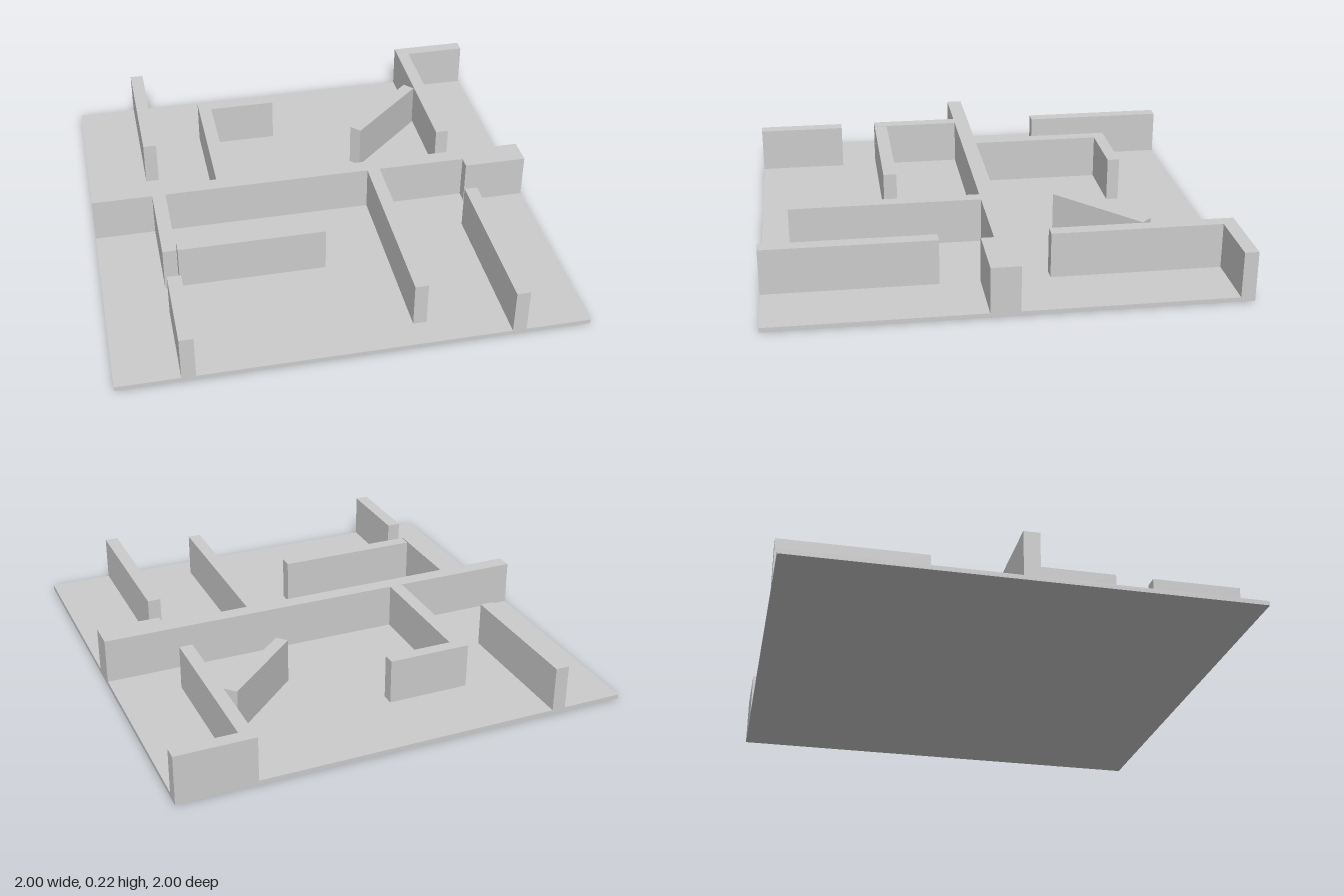
import * as THREE from 'three';

const FLOOR = 0.02;
const TOP = 0.22;
const material = new THREE.MeshStandardMaterial({ color: 0xcccccc, flatShading: true });

// Box given by its extents on the plan and in height
function block(name, x0, x1, z0, z1, y0 = FLOOR, y1 = TOP) {
  const mesh = new THREE.Mesh(new THREE.BoxGeometry(x1 - x0, y1 - y0, z1 - z0), material);
  mesh.position.set((x0 + x1) / 2, (y0 + y1) / 2, (z0 + z1) / 2);
  mesh.name = name;
  return mesh;
}

export function createModel() {
  const model = new THREE.Group();
  model.name = 'floorPlan';

  model.add(block('floor', -1, 1, -1, 1, 0, FLOOR));

  // Straight walls: name, x from, x to, z from, z to
  const walls = [
    ['centralWall', -1, 1, -0.035, 0.035],
    ['backRightWall', -0.73, -0.67, -1, -0.36],
    ['middleRightWall', -0.73, -0.67, 0.035, 0.44],
    ['frontRightWall', -0.73, -0.67, 0.605, 1],
    ['frontCrossWall', -0.665, -0.02, 0.38, 0.44],
    ['hookWallStem', -0.43, -0.37, -0.62, -0.035],
    ['hookWallArm', -0.43, -0.065, -0.675, -0.62],
    ['frontInnerWall', 0.262, 0.32, 0.035, 0.875],
    ['backLeftWall', 0.658, 0.717, -1, -0.205],
    ['backLeftCornerWall', 0.717, 1, -1, -0.94],
    ['frontLeftWall', 0.658, 0.717, 0.262, 1],
    ['centralWallThickening', 0.717, 1, 0.035, 0.09],
  ];
  for (const wall of walls) model.add(block(...wall));

  // Diagonal wall, turned about its middle
  const diagonal = block('diagonalWall', -0.237, 0.237, -0.029, 0.029);
  diagonal.position.x = 0.46;
  diagonal.position.z = -0.47;
  diagonal.rotation.y = Math.atan2(0.32, 0.35);
  model.add(diagonal);

  return model;
}
